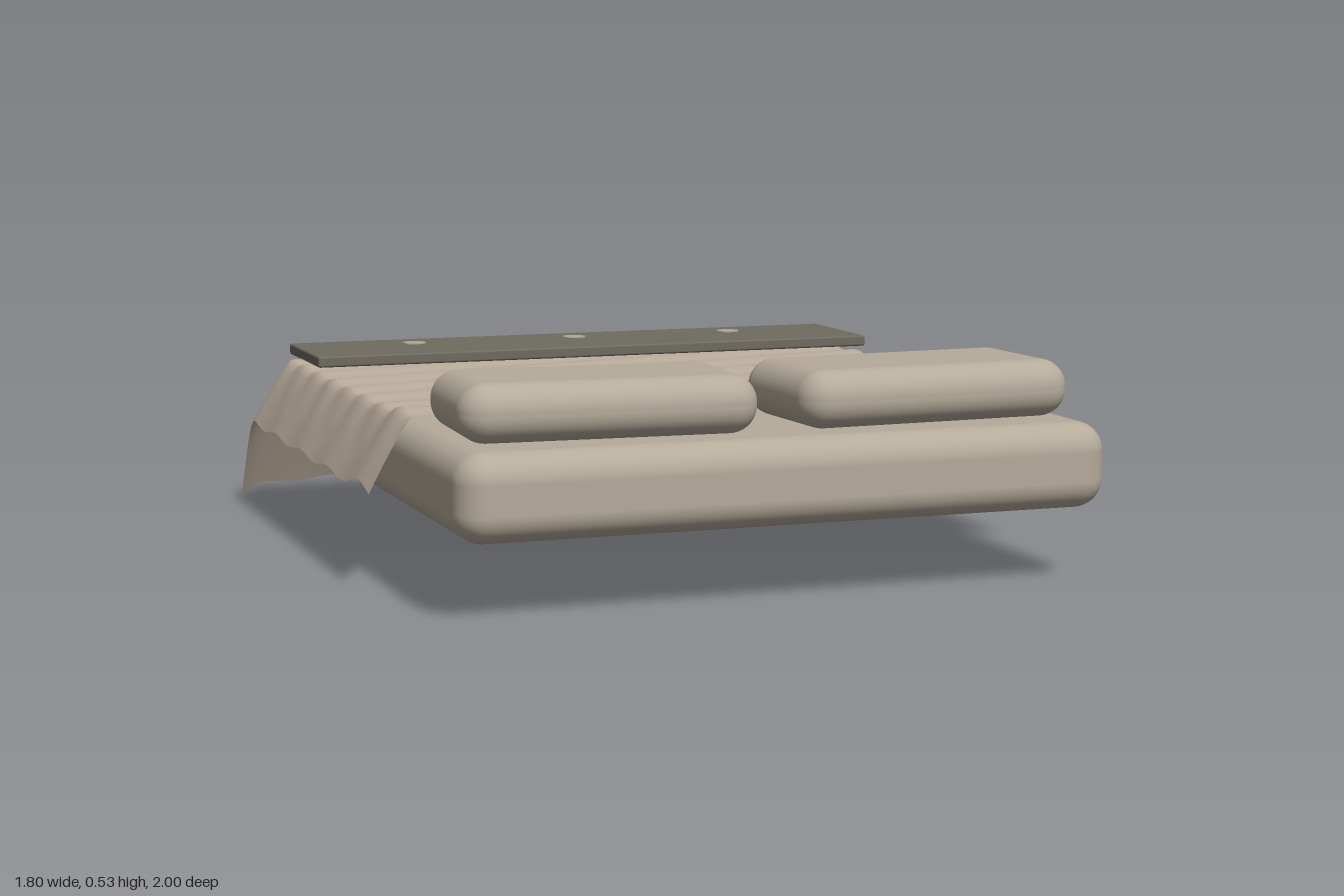
import * as THREE from 'three';
import { RoundedBoxGeometry } from 'three/addons/geometries/RoundedBoxGeometry.js';

const mat = (name, color, side = THREE.FrontSide) => {
  const m = new THREE.MeshStandardMaterial({ color, side });
  m.name = name;
  return m;
};

export function createModel() {
  const group = new THREE.Group();
  const linen = mat('linen', 0xb5ab9b);
  const cover = mat('blanket cloth', 0xb9ab9b, THREE.DoubleSide);
  const dark = mat('dark throw', 0x6f6b60);
  const pale = mat('pale button', 0xb0a898);

  const add = (name, geometry, material, x, y, z) => {
    const mesh = new THREE.Mesh(geometry, material);
    mesh.name = name;
    mesh.position.set(x, y, z);
    group.add(mesh);
    return mesh;
  };

  // Mattress
  add('mattress', new RoundedBoxGeometry(1.63, 0.21, 1.87, 6, 0.07), linen, 0, 0.285, 0.065);

  // Two pillows, turned slightly away from each other
  for (const s of [-1, 1]) {
    const pillow = add(s > 0 ? 'leftPillow' : 'rightPillow',
      new RoundedBoxGeometry(0.72, 0.14, 0.39, 6, 0.066), linen, s * 0.405, 0.461, 0.705);
    pillow.rotation.y = s * 0.05;
  }

  // Blanket: rippled top, sloping sides and a long drop at the foot
  const sheet = new THREE.PlaneGeometry(1.8, 1.51, 140, 150);
  sheet.rotateX(-Math.PI / 2);
  sheet.translate(0, 0, -0.245);
  const pos = sheet.attributes.position;
  for (let i = 0; i < pos.count; i++) {
    const x = pos.getX(i), z = pos.getZ(i);
    const side = Math.max(0, (Math.abs(x) - 0.795) / 0.105);
    const foot = Math.max(0, (-0.79 - z) / 0.21);
    const drop = Math.hypot(0.172 * side ** 1.15, 0.37 * foot ** 1.1);
    const flat = 1 - Math.min(1, Math.max(side, foot) * 1.5);
    const ripple = 0.006 * flat * Math.sin((z + 0.22 * x) * 37);
    const hem = 0.007 * (Math.min(1, side) * Math.sin(z * 21) * (1 - foot)
      + Math.min(1, foot) * Math.sin(x * 27) * (1 - side));
    const hump = 0.016 * Math.exp(-(((z - 0.43) / 0.09) ** 2));
    pos.setY(i, Math.max(0, 0.408 - drop + ripple + hem + hump));
  }
  sheet.computeVertexNormals();
  add('blanket', sheet, cover, 0, 0, 0);

  // Folded throw across the foot of the bed
  add('throw', new RoundedBoxGeometry(1.6, 0.03, 0.355, 2, 0.006), dark, 0, 0.443, -0.605);

  // Buttons on the throw and on its rear edge
  for (const x of [-0.47, 0, 0.47]) {
    add('topButton', new THREE.CylinderGeometry(0.033, 0.033, 0.004, 24), pale, x, 0.4585, -0.67);
    add('rearPatch', new THREE.BoxGeometry(0.05, 0.016, 0.003), pale, x, 0.443, -0.783);
  }
  return group;
}
